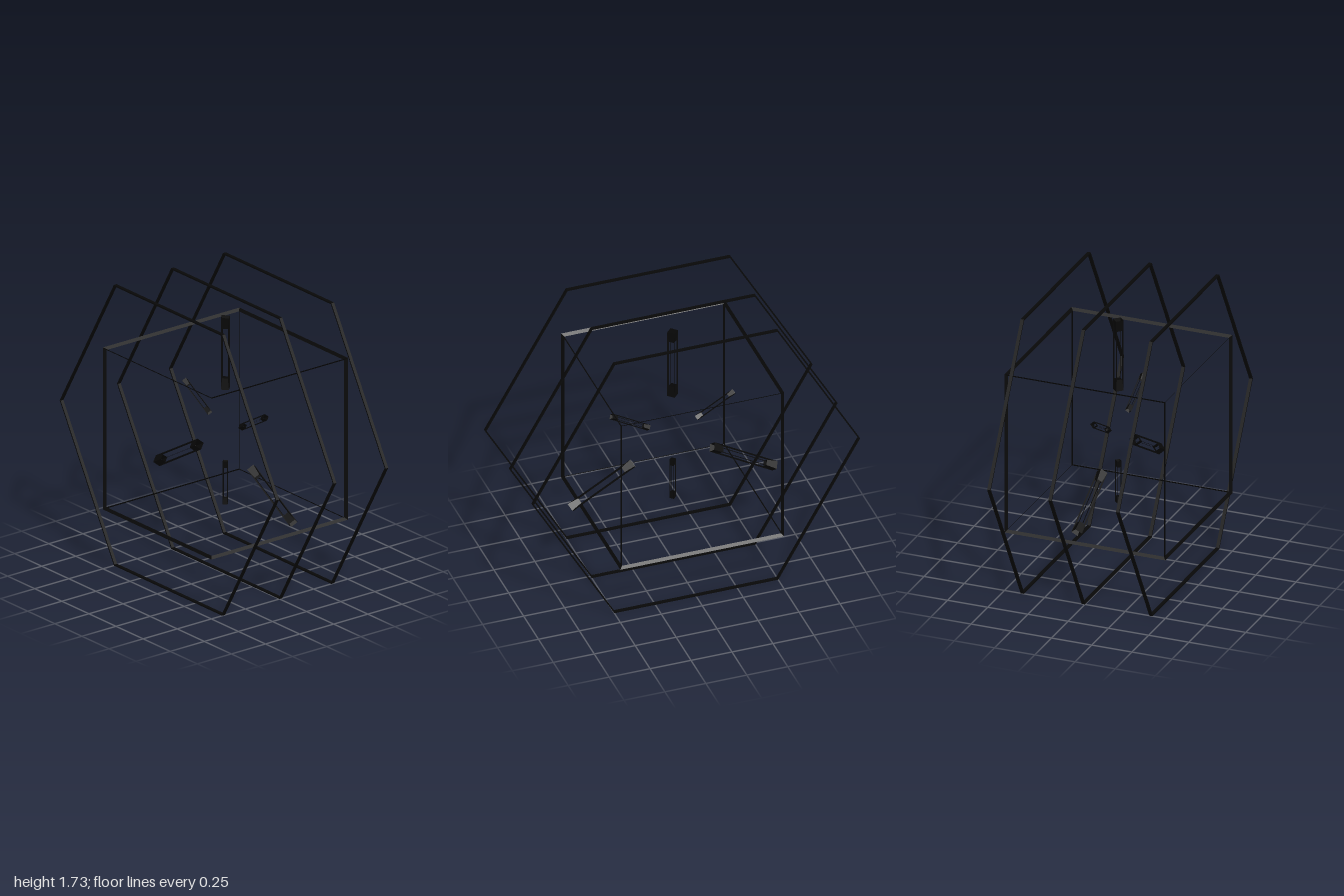
import * as THREE from 'three';

const CENTRE_Y = Math.sqrt(3) / 2;
const ink = new THREE.MeshStandardMaterial({ color: 0x080808, side: THREE.DoubleSide, flatShading: true });

// Unit box frame: each of the 12 edges is a flat ribbon running in towards the centre
function frameGeometry(inner) {
  const pos = [];
  for (let axis = 0; axis < 3; axis++) {
    for (const a of [-0.5, 0.5]) {
      for (const b of [-0.5, 0.5]) {
        const corner = (end, scale) => {
          const p = [0, 0, 0];
          p[axis] = end * scale;
          p[(axis + 1) % 3] = a * scale;
          p[(axis + 2) % 3] = b * scale;
          return p;
        };
        const [p, q, r, s] = [corner(-0.5, 1), corner(0.5, 1), corner(0.5, inner), corner(-0.5, inner)];
        pos.push(...p, ...q, ...r, ...p, ...r, ...s);
      }
    }
  }
  const g = new THREE.BufferGeometry();
  g.setAttribute('position', new THREE.Float32BufferAttribute(pos, 3));
  g.computeVertexNormals();
  return g;
}

function hexagon(path, radius) {
  for (let i = 0; i < 6; i++) {
    const a = (i * Math.PI) / 3;
    path[i ? 'lineTo' : 'moveTo'](radius * Math.cos(a), radius * Math.sin(a));
  }
  path.closePath();
  return path;
}

export function createModel() {
  const model = new THREE.Group();
  model.name = 'hexagonCubeFigure';
  const add = (parent, name, geometry) => {
    const mesh = new THREE.Mesh(geometry, ink);
    mesh.name = name;
    parent.add(mesh);
    return mesh;
  };

  // Three thin upright hexagon outlines
  const shape = hexagon(new THREE.Shape(), 1);
  shape.holes.push(hexagon(new THREE.Path(), 0.991));
  const ring = new THREE.ExtrudeGeometry(shape, { depth: 0.02, bevelEnabled: false });
  [['frontHexagon', 0.4], ['middleHexagon', -0.02], ['backHexagon', -0.4]].forEach(([name, z]) => {
    add(model, name, ring).position.set(0, CENTRE_Y, z);
  });

  // Cube outline
  add(model, 'cubeFrame', frameGeometry(0.97)).position.y = CENTRE_Y;

  // Radial bars: stretched frames with a diamond cross-section
  const bar = frameGeometry(0.69);
  bar.rotateY(Math.PI / 4);
  bar.scale(0.066 / Math.SQRT2, 0.442, 0.066 / Math.SQRT2);
  const bars = new THREE.Group();
  bars.name = 'radialBars';
  bars.position.y = CENTRE_Y;
  model.add(bars);
  for (let i = 0; i < 6; i++) {
    const long = i % 2 === 0;
    const spoke = new THREE.Group();
    spoke.name = long ? 'longSpoke' : 'shortSpoke';
    spoke.rotation.z = (i * Math.PI) / 3;
    const mesh = add(spoke, long ? 'longBar' : 'shortBar', bar);
    mesh.position.y = long ? 0.5 : 0.3;
    mesh.scale.setScalar(long ? 1 : 0.6);
    bars.add(spoke);
  }
  return model;
}
